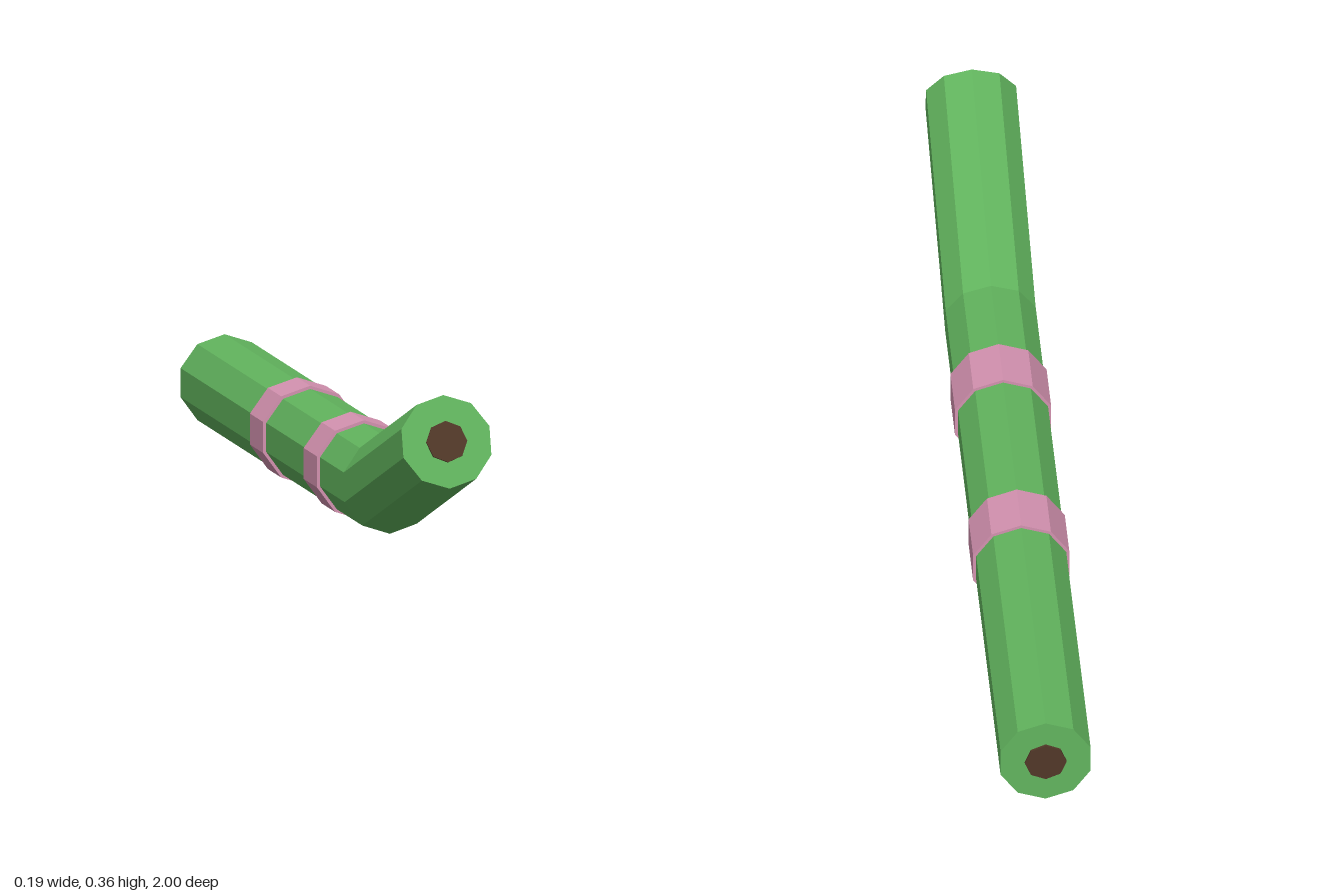
import * as THREE from 'three';

const RADIUS = 0.095, AXIS_Y = 0.1035;
const BACK_Z = -0.995, BEND_Z = 0.455;
const BEND = 0.308;     // upward tilt of the front section
const FRONT = 0.542;    // length of the front section along its axis

const material = (name, color) => {
  const m = new THREE.MeshStandardMaterial({ color, flatShading: true });
  m.name = name;
  return m;
};

// Prism along z with a corner pointing up
const prism = (radius, length, sides, rows = 1) =>
  new THREE.CylinderGeometry(radius, radius, length, sides, rows).rotateX(Math.PI / 2);

export function createModel() {
  const green = material('stalkGreen', 0x62b55e);
  const pink = material('bandPink', 0xd492b0);
  const brown = material('coreBrown', 0x523828);
  const group = new THREE.Group();
  group.name = 'bentStalk';

  const add = (name, geometry, mat, y = AXIS_Y, z = 0) => {
    const mesh = new THREE.Mesh(geometry, mat);
    mesh.name = name;
    mesh.position.set(0, y, z);
    group.add(mesh);
    return mesh;
  };

  const endY = FRONT * Math.sin(BEND);
  const endZ = BEND_Z + FRONT * Math.cos(BEND);

  // Stalk: three cross-sections, the middle one mitred at the bend
  const stalk = prism(RADIUS, 2, 10, 2);
  const p = stalk.attributes.position;
  for (let i = 0; i < p.count; i++) {
    const y = p.getY(i), row = Math.round(p.getZ(i));
    if (row < 0) p.setZ(i, BACK_Z);
    else if (row === 0) p.setZ(i, BEND_Z - y * Math.tan(BEND / 2));
    else {
      p.setY(i, endY + y * Math.cos(BEND));
      p.setZ(i, endZ - y * Math.sin(BEND));
    }
  }
  stalk.computeVertexNormals();
  add('stalk', stalk, green);

  // Bands around the straight section
  [['frontBand', 0.182], ['backBand', -0.295]].forEach(([name, z]) =>
    add(name, prism(0.1015, 0.118, 10), pink, AXIS_Y, z));

  // Cores showing at both ends
  add('backCore', prism(0.042, 0.009, 8), brown, AXIS_Y, BACK_Z - 0.0005);
  add('frontCore', prism(0.042, 0.009, 8), brown, AXIS_Y + endY, endZ).rotation.x = -BEND;

  return group;
}
